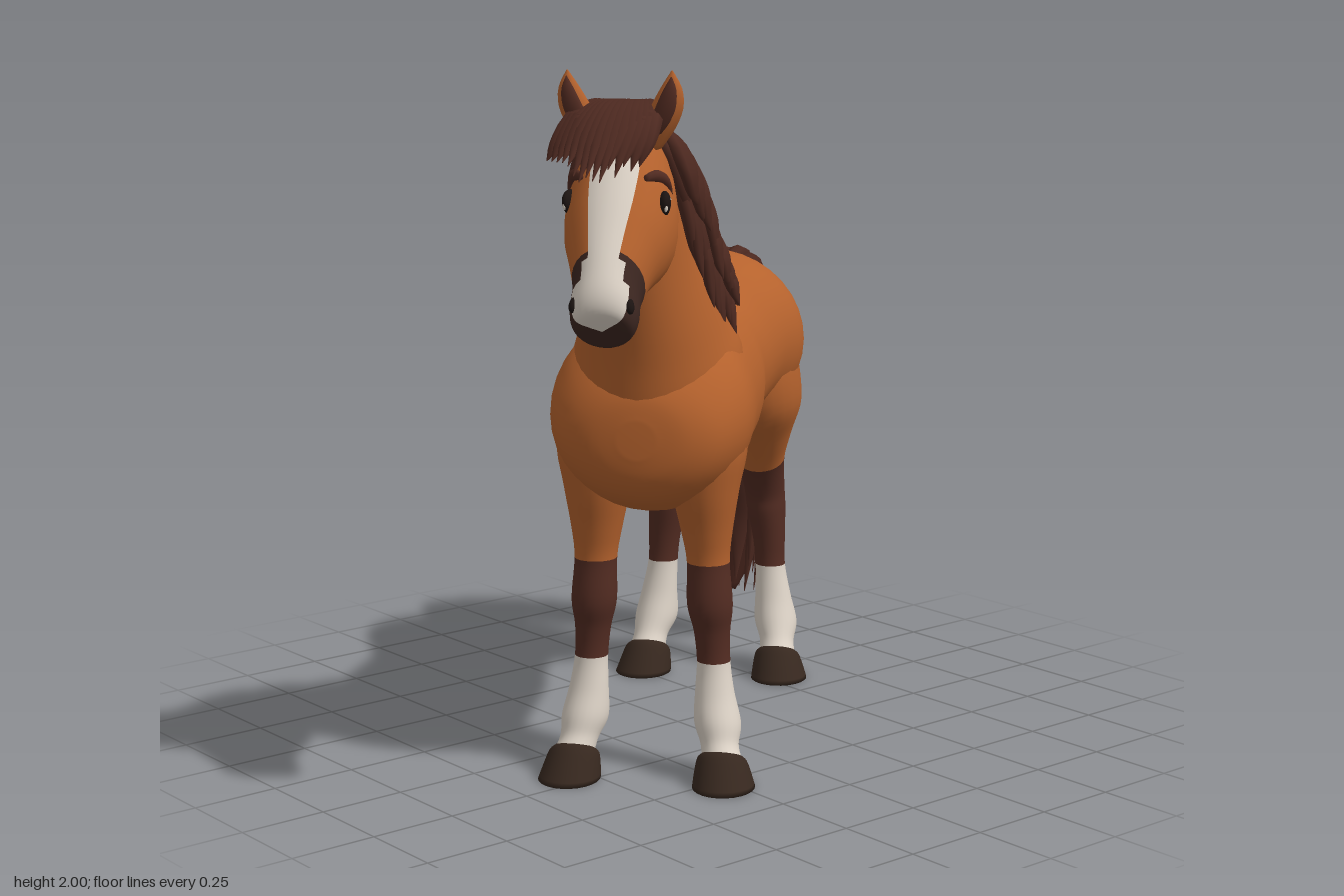
import * as THREE from 'three';

const mat = (name, color) => {
  const m = new THREE.MeshStandardMaterial({ color });
  m.name = name;
  return m;
};

// Point on a body of elliptical rings. A row is [zP, yP, zQ, yQ, halfWidth, x]:
// P and Q are opposite ends of the ring in the zy plane (angle 0 and PI).
function ringPoint(rows, u, phi) {
  const i = Math.min(Math.floor(u), rows.length - 2), f = u - i;
  const at = (k) => rows[Math.max(0, Math.min(rows.length - 1, k))];
  const v = [0, 1, 2, 3, 4, 5].map((c) => {
    const [a, b, d, e] = [at(i - 1), at(i), at(i + 1), at(i + 2)].map((r) => r[c] || 0);
    return b + 0.5 * f * (d - a + f * (2 * a - 5 * b + 4 * d - e + f * (3 * (b - d) + e - a)));
  });
  const c = Math.cos(phi) / 2;
  return new THREE.Vector3(v[5] + v[4] * Math.sin(phi),
    (v[1] + v[3]) / 2 + (v[1] - v[3]) * c, (v[0] + v[2]) / 2 + (v[0] - v[2]) * c);
}

// Smooth closed skin through the rows; pick(u, angle) chooses a material index per face
function loft(name, rows, mats, pick = () => 0, N = 28, sub = 5) {
  const list = [].concat(mats), faces = list.map(() => []), pos = [];
  const R = (rows.length - 1) * sub + 1;
  const angle = (k) => ((k + 0.5) / N) * Math.PI * 2 - (k + 0.5 > N / 2 ? Math.PI * 2 : 0);
  for (let j = 0; j < R; j++)
    for (let k = 0; k < N; k++) pos.push(ringPoint(rows, j / sub, (k / N) * Math.PI * 2));
  for (let j = 0; j < R - 1; j++)
    for (let k = 0; k < N; k++) {
      const a = j * N + k, b = j * N + (k + 1) % N;
      faces[pick((j + 0.5) / sub, angle(k))].push(a, b, a + N, b, b + N, a + N);
    }
  // End caps
  for (const [j, u] of [[0, 0], [R - 1, rows.length - 1]]) {
    const c = pos.push(ringPoint(rows, u, 0).add(ringPoint(rows, u, Math.PI)).multiplyScalar(0.5)) - 1;
    for (let k = 0; k < N; k++) {
      const a = j * N + k, b = j * N + (k + 1) % N;
      faces[pick(u, angle(k))].push(...(j ? [a, b, c] : [b, a, c]));
    }
  }
  // Turn the skin outward
  let vol = 0;
  const all = faces.flat(), o = pos[0], t = [0, 1, 2].map(() => new THREE.Vector3());
  for (let i = 0; i < all.length; i += 3) {
    t.forEach((p, q) => p.copy(pos[all[i + q]]).sub(o));
    vol += t[0].dot(t[1].cross(t[2]));
  }
  if (vol < 0) all.reverse(), faces.reverse();
  const g = new THREE.BufferGeometry().setFromPoints(pos);
  g.setIndex(all);
  let start = 0;
  faces.forEach((f, i) => {
    g.addGroup(start, f.length, vol < 0 ? list.length - 1 - i : i);
    start += f.length;
  });
  g.computeVertexNormals();
  const mesh = new THREE.Mesh(g, list.length > 1 ? list : list[0]);
  mesh.name = name;
  return mesh;
}

// Tapered tuft along points; breadth lies in the zy plane, thick lies across x
function tuft(name, pts, breadth, thick, m, taper = [0.6, 1, 0.95, 0.65, 0.03]) {
  const curve = new THREE.CatmullRomCurve3(pts);
  const rows = taper.map((w, i) => {
    const p = curve.getPoint(i / (taper.length - 1)), d = curve.getTangent(i / (taper.length - 1));
    const l = Math.hypot(d.y, d.z) || 1, dz = (d.y / l) * breadth * w, dy = (-d.z / l) * breadth * w;
    return [p.z + dz, p.y + dy, p.z - dz, p.y - dy, thick * w, p.x];
  });
  return loft(name, rows, m, undefined, 8, 3);
}

export function createModel() {
  const coat = mat('chestnut coat', 0xb5622d), hair = mat('mane hair', 0x4d2920);
  const under = mat('hair shadow brown', 0x45231b), stocking = mat('dark leg', 0x532c22);
  const white = mat('white marking', 0xdcd2c6), hoofMat = mat('hoof', 0x37281f);
  const muzzle = mat('dark muzzle', 0x3d2721), black = mat('eye black', 0x1c1412);
  const horse = new THREE.Group();
  horse.name = 'horse';
  const V = (x, y, z) => new THREE.Vector3(x, y, z);
  let seed = 7;
  const rnd = (a) => ((seed = (seed * 16807) % 2147483647) / 2147483647 - 0.5) * 2 * a;
  const blob = (name, m, p, s, rot = [0, 0, 0]) => {
    const b = new THREE.Mesh(new THREE.SphereGeometry(1, 20, 14), m);
    b.name = name;
    b.position.set(...p);
    b.scale.set(...s);
    b.rotation.set(...rot);
    horse.add(b);
  };

  // Trunk, from chest to rump
  const trunk = [[0.69, 1.05, 0.95, 0.05], [0.675, 1.12, 0.88, 0.14], [0.63, 1.19, 0.82, 0.215],
    [0.55, 1.27, 0.78, 0.265], [0.45, 1.32, 0.76, 0.283], [0.25, 1.32, 0.765, 0.267],
    [0, 1.3, 0.77, 0.247], [-0.16, 1.315, 0.81, 0.23], [-0.3, 1.362, 0.85, 0.266],
    [-0.43, 1.382, 0.83, 0.3], [-0.56, 1.355, 0.83, 0.275], [-0.64, 1.29, 0.88, 0.21],
    [-0.685, 1.2, 0.95, 0.115], [-0.697, 1.12, 1.02, 0.04]];
  horse.add(loft('body', trunk.map(([z, a, b, w]) => [z, a, z, b, w]), coat, undefined, 36));
  blob('sheath', stocking, [0, 0.865, -0.36], [0.05, 0.045, 0.09]);

  // Neck, broad at the base so that it flows into chest and shoulders
  horse.add(loft('neck', [[0.645, 0.96, 0.04, 1.16, 0.235], [0.675, 1.09, 0.1, 1.27, 0.237],
    [0.7, 1.21, 0.22, 1.36, 0.2], [0.745, 1.37, 0.41, 1.54, 0.145], [0.79, 1.52, 0.55, 1.72, 0.115],
    [0.84, 1.62, 0.68, 1.85, 0.095]], coat, undefined, 36));

  // Head with blaze and dark muzzle
  const head = [[0.77, 1.83, 0.7, 1.67, 0.06], [0.85, 1.87, 0.71, 1.52, 0.12], [0.93, 1.8, 0.77, 1.425, 0.145],
    [1.0, 1.71, 0.86, 1.415, 0.136], [1.06, 1.62, 0.94, 1.4, 0.108], [1.11, 1.54, 0.99, 1.36, 0.088],
    [1.145, 1.47, 1.03, 1.325, 0.088], [1.15, 1.42, 1.07, 1.315, 0.072], [1.13, 1.385, 1.095, 1.34, 0.03]];
  horse.add(loft('head', head, [coat, white, muzzle], (u, phi) => {
    const wide = u > 5.4 ? (phi < 0 ? 1.15 : 0.9) : u > 4.8 ? 0.7 : 0.45;
    if (u > 1.6 && Math.abs(phi) < wide) return 1;
    return u > 4.6 ? 2 : 0;
  }));

  for (const s of [1, -1]) {
    const side = s > 0 ? 'left' : 'right';
    // Eyes, brows, nostrils
    blob(side + ' eye', black, [s * 0.12, 1.664, 0.916], [0.018, 0.034, 0.04], [-0.3, s * 0.3, 0]);
    blob(side + ' eye white', white, [s * 0.131, 1.66, 0.946], [0.006, 0.013, 0.007]);
    blob(side + ' eye glint', white, [s * 0.137, 1.677, 0.92], [0.003, 0.006, 0.006]);
    horse.add(tuft(side + ' brow', [V(s * 0.085, 1.735, 0.965), V(s * 0.108, 1.738, 0.935),
      V(s * 0.124, 1.72, 0.895), V(s * 0.134, 1.68, 0.865)], 0.015, 0.012, stocking));
    blob(side + ' nostril', black, [s * 0.071, 1.43, 1.116], [0.012, 0.022, 0.015], [-0.5, 0, s * 0.2]);
    // Ears
    const earShape = [0.75, 1, 1, 0.65, 0.04];
    horse.add(tuft(side + ' ear', [V(s * 0.07, 1.8, 0.85), V(s * 0.105, 1.87, 0.862),
      V(s * 0.13, 1.94, 0.875), V(s * 0.136, 2.0, 0.885)], 0.03, 0.043, coat, earShape));
    horse.add(tuft(side + ' inner ear', [V(s * 0.09, 1.84, 0.879), V(s * 0.11, 1.88, 0.887),
      V(s * 0.13, 1.94, 0.896), V(s * 0.136, 1.985, 0.895)], 0.012, 0.026, stocking, earShape));

    // Legs and hooves
    const leg = (name, rows, dark, pale, hz) => {
      horse.add(loft(`${side} ${name} leg`, rows.map((r) => [...r.slice(0, 5), s * r[5]]),
        [coat, stocking, white], (u) => (u < dark ? 0 : u < pale ? 1 : 2), 22));
      horse.add(loft(`${side} ${name} hoof`, [[hz + 0.03, 0.108, hz - 0.085, 0.055, 0.056, s * 0.21],
        [hz + 0.045, 0.095, hz - 0.093, 0.043, 0.07, s * 0.211], [hz + 0.075, 0.05, hz - 0.097, 0.022, 0.08, s * 0.215],
        [hz + 0.106, 0, hz - 0.097, 0, 0.088, s * 0.22]], hoofMat, undefined, 24, 3));
    };
    leg('front', [[0.59, 1.1, 0.28, 1.1, 0.09, 0.15], [0.605, 0.96, 0.32, 0.96, 0.118, 0.15],
      [0.58, 0.83, 0.37, 0.83, 0.095, 0.152], [0.545, 0.71, 0.395, 0.71, 0.072, 0.156],
      [0.528, 0.62, 0.405, 0.62, 0.06, 0.16], [0.534, 0.5, 0.403, 0.5, 0.064, 0.165],
      [0.515, 0.42, 0.41, 0.42, 0.051, 0.17], [0.51, 0.335, 0.415, 0.335, 0.047, 0.175],
      [0.527, 0.25, 0.42, 0.25, 0.055, 0.18], [0.553, 0.18, 0.41, 0.145, 0.066, 0.19],
      [0.566, 0.13, 0.455, 0.09, 0.054, 0.2], [0.585, 0.1, 0.475, 0.05, 0.056, 0.21]], 4, 7, 0.555);
    leg('hind', [[-0.32, 1.2, -0.58, 1.22, 0.08, 0.16], [-0.26, 1.05, -0.635, 1.07, 0.128, 0.15],
      [-0.295, 0.89, -0.645, 0.93, 0.135, 0.155], [-0.41, 0.77, -0.632, 0.83, 0.1, 0.155],
      [-0.497, 0.67, -0.638, 0.735, 0.075, 0.151], [-0.55, 0.58, -0.692, 0.615, 0.064, 0.155],
      [-0.56, 0.52, -0.702, 0.54, 0.061, 0.16], [-0.575, 0.43, -0.677, 0.43, 0.051, 0.17],
      [-0.578, 0.345, -0.672, 0.345, 0.047, 0.175], [-0.562, 0.25, -0.674, 0.25, 0.056, 0.185],
      [-0.537, 0.18, -0.695, 0.145, 0.067, 0.195], [-0.515, 0.13, -0.63, 0.09, 0.054, 0.205],
      [-0.493, 0.1, -0.605, 0.05, 0.056, 0.21]], 4, 8, -0.523);
  }

  // Mane: underlying mass, then two layers of ragged tufts on each side
  horse.add(loft('mane base', [[0.8, 1.74, 0.68, 1.89, 0.09], [0.7, 1.6, 0.52, 1.8, 0.125],
    [0.56, 1.45, 0.37, 1.61, 0.155], [0.43, 1.36, 0.25, 1.46, 0.15], [0.32, 1.32, 0.17, 1.37, 0.07]], under));
  const roots = new THREE.CatmullRomCurve3([V(0, 1.89, 0.75), V(0, 1.8, 0.55), V(0, 1.6, 0.39),
    V(0, 1.455, 0.27), V(0, 1.365, 0.21)]);
  const tips = new THREE.CatmullRomCurve3([V(0, 1.53, 0.64), V(0, 1.38, 0.54), V(0, 1.27, 0.42),
    V(0, 1.24, 0.31), V(0, 1.315, 0.14)]);
  for (const s of [1, -1])
    for (let layer = 0; layer < 2; layer++)
      for (let k = 0; k < 12; k++) {
        const u = (k + layer * 0.5) / 11.5, r = roots.getPoint(u), t = tips.getPoint(u);
        if (layer) t.lerp(r, 0.3);
        t.z += rnd(0.04) - 0.02;
        t.y += rnd(0.05) * (1 - u);
        const w = 0.125 + 0.065 * Math.min(1, u * 1.3) + layer * 0.015 - 0.14 * Math.max(0, u - 0.7) / 0.3;
        const path = [[0.1, 0], [0.72, 0.22], [1.02, 0.55], [1.1, 0.8], [1.17, 1]].map(([x, f]) => {
          const p = r.clone().lerp(t, f);
          p.z += 0.045 * Math.sin(f * Math.PI) * (1 - u * 0.6);
          p.x = s * w * x;
          return p;
        });
        horse.add(tuft('mane tuft', path, 0.062 - 0.036 * u * u, 0.022, hair));
      }

  // Forelock, swept towards the right side
  for (let k = 0; k < 15; k++) {
    const a = (k - 7) / 7, l = rnd(0.025);
    horse.add(tuft('forelock tuft', [V(a * 0.045, 1.87, 0.74), V(a * 0.08 - 0.01, 1.905, 0.84),
      V(a * 0.11 - 0.025, 1.87 - 0.035 * a * a, 0.945),
      V(a * 0.12 - 0.05, 1.755 + l, 1.055 - 0.07 * a * a - l * 0.5)], 0.022, 0.036, hair));
  }

  // Tail: full mass wrapped in long tufts whose tips flare out
  const tail = [[-0.57, 1.22, -0.6, 1.32, 0.06], [-0.65, 1.17, -0.7, 1.345, 0.1],
    [-0.72, 1.08, -0.845, 1.28, 0.135], [-0.76, 0.97, -0.945, 1.07, 0.155], [-0.795, 0.85, -0.995, 0.9, 0.165],
    [-0.825, 0.66, -1.04, 0.69, 0.16], [-0.87, 0.47, -1.065, 0.48, 0.13],
    [-0.895, 0.3, -1.02, 0.29, 0.075], [-0.905, 0.18, -0.94, 0.17, 0.015]];
  horse.add(loft('tail base', tail, under, undefined, 20, 4));
  for (let layer = 0; layer < 4; layer++)
    for (let k = 0; k < 12; k++) {
      const phi = ((k + layer * 0.37) / 12) * Math.PI * 2, u0 = 0.4 + layer * 1.15;
      const u1 = Math.min(7.5, u0 + 4 + rnd(0.7)), flare = 0.03 + rnd(0.02);
      const path = [0, 0.25, 0.5, 0.75, 1].map((f) => ringPoint(tail, u0 + (u1 - u0) * f, phi + 0.3 * f));
      path[4].x += flare * Math.sin(phi);
      path[4].z += flare * Math.cos(phi);
      path[4].y -= 0.05;
      const side = Math.abs(Math.sin(phi));
      horse.add(tuft('tail tuft', path, 0.016 + 0.034 * side, 0.05 - 0.032 * side, hair));
    }

  // Stand turned towards the front right corner
  horse.rotation.y = -0.876;
  horse.position.set(0.008, 0, 0.009);
  const model = new THREE.Group();
  model.name = 'horse model';
  model.add(horse);
  return model;
}
